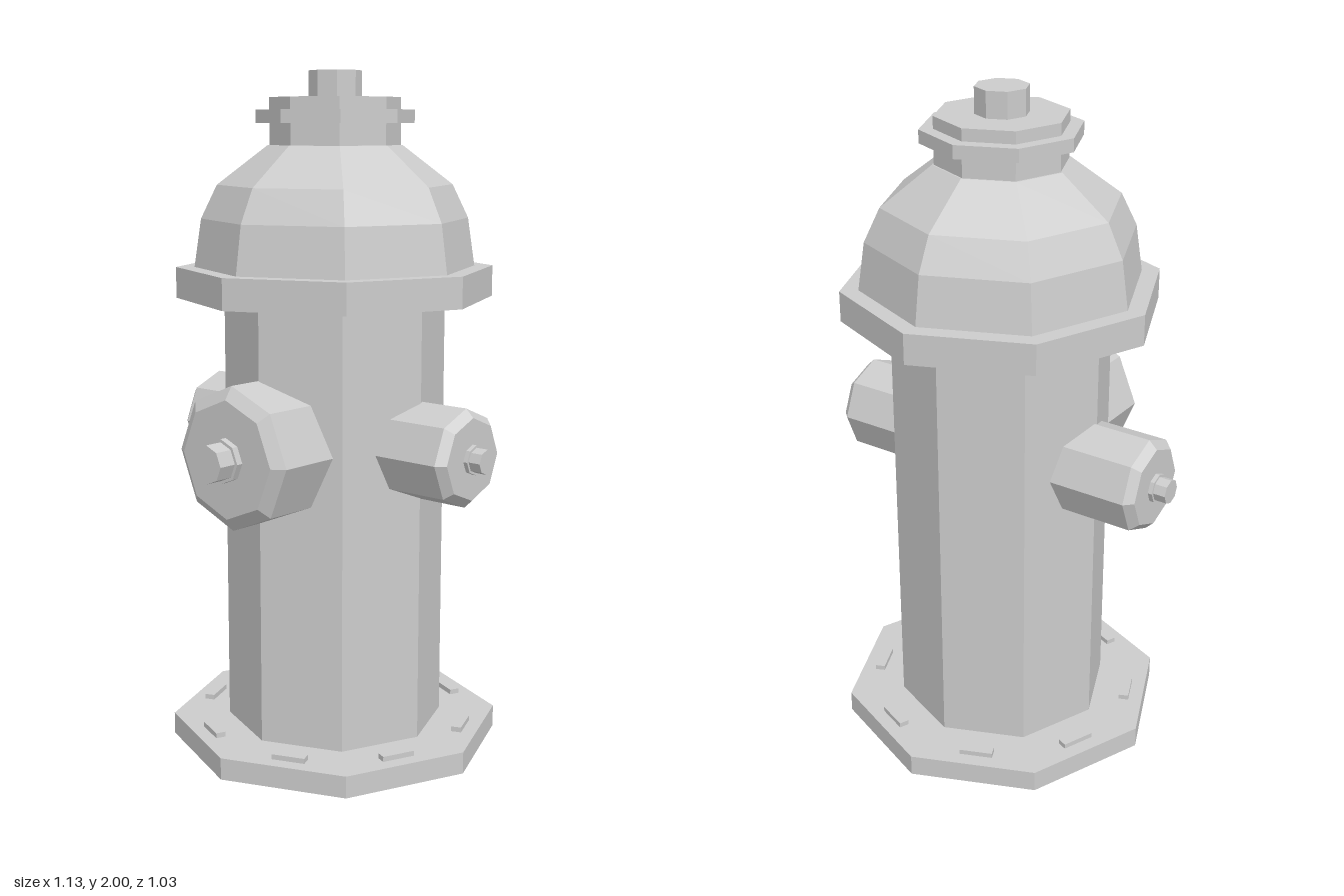
import * as THREE from 'three';

const material = new THREE.MeshStandardMaterial({ color: 0xcccccc, flatShading: true });
const SIDES = 8;

function addMesh(parent, name, geometry) {
  const mesh = new THREE.Mesh(geometry, material);
  mesh.name = name;
  parent.add(mesh);
  return mesh;
}

// Eight-sided turned part, profile given as [radius, height] from bottom to top
function turned(parent, name, profile) {
  const points = profile.map(([r, y]) => new THREE.Vector2(r, y));
  return addMesh(parent, name, new THREE.LatheGeometry(points, SIDES));
}

function disc(parent, name, radius, y0, y1) {
  return turned(parent, name, [[0, y0], [radius, y0], [radius, y1], [0, y1]]);
}

// Capped outlet along local +y, starting inside the barrel
function outlet(name, { radius, bevel, start, end, collarRadius, collarEnd, nutRadius, tip }) {
  const group = new THREE.Group();
  group.name = name;
  turned(group, name + 'Cap', [
    [0, start], [radius, start], [radius, end - 0.025], [radius - bevel, end], [0, end],
  ]);
  disc(group, name + 'Collar', collarRadius, end, collarEnd);
  disc(group, name + 'Nut', nutRadius, collarEnd, tip);
  return group;
}

export function createModel() {
  const model = new THREE.Group();
  model.name = 'fireHydrant';

  // Upright column, set slightly back to balance the front outlet
  const column = new THREE.Group();
  column.name = 'column';
  column.position.set(0.008, 0, -0.017);
  model.add(column);

  disc(column, 'base', 0.495, 0, 0.065);
  disc(column, 'barrel', 0.325, 0.065, 1.35);
  disc(column, 'rim', 0.465, 1.35, 1.44);
  turned(column, 'dome', [[0, 1.44], [0.411, 1.44], [0.39, 1.58], [0.343, 1.677], [0.195, 1.79], [0, 1.79]]);
  disc(column, 'neck', 0.19, 1.79, 1.852);
  disc(column, 'flange', 0.23, 1.852, 1.89);
  disc(column, 'topPlate', 0.19, 1.89, 1.925);
  disc(column, 'topNut', 0.077, 1.925, 2);

  // One flat bolt in the middle of each base side
  for (let i = 0; i < SIDES; i++) {
    const angle = ((i + 0.5) / SIDES) * Math.PI * 2;
    const bolt = addMesh(column, 'baseBolt', new THREE.BoxGeometry(0.1, 0.03, 0.03));
    bolt.position.set(Math.sin(angle) * 0.4, 0.065, Math.cos(angle) * 0.4);
    bolt.rotation.y = angle;
  }

  // Large front outlet
  const front = outlet('frontOutlet', {
    radius: 0.207, bevel: 0.037, start: 0.15, end: 0.438,
    collarRadius: 0.064, collarEnd: 0.458, nutRadius: 0.055, tip: 0.513,
  });
  front.position.set(0.005, 0.932, 0);
  front.rotation.x = Math.PI / 2;
  model.add(front);

  // Smaller outlets on both sides
  for (const side of [1, -1]) {
    const outletGroup = outlet(side > 0 ? 'leftOutlet' : 'rightOutlet', {
      radius: 0.142, bevel: 0.024, start: 0.2, end: 0.514,
      collarRadius: 0.043, collarEnd: 0.527, nutRadius: 0.036, tip: 0.564,
    });
    outletGroup.position.set(-0.003, 0.932, -0.025);
    outletGroup.rotation.z = -side * Math.PI / 2;
    model.add(outletGroup);
  }

  return model;
}
